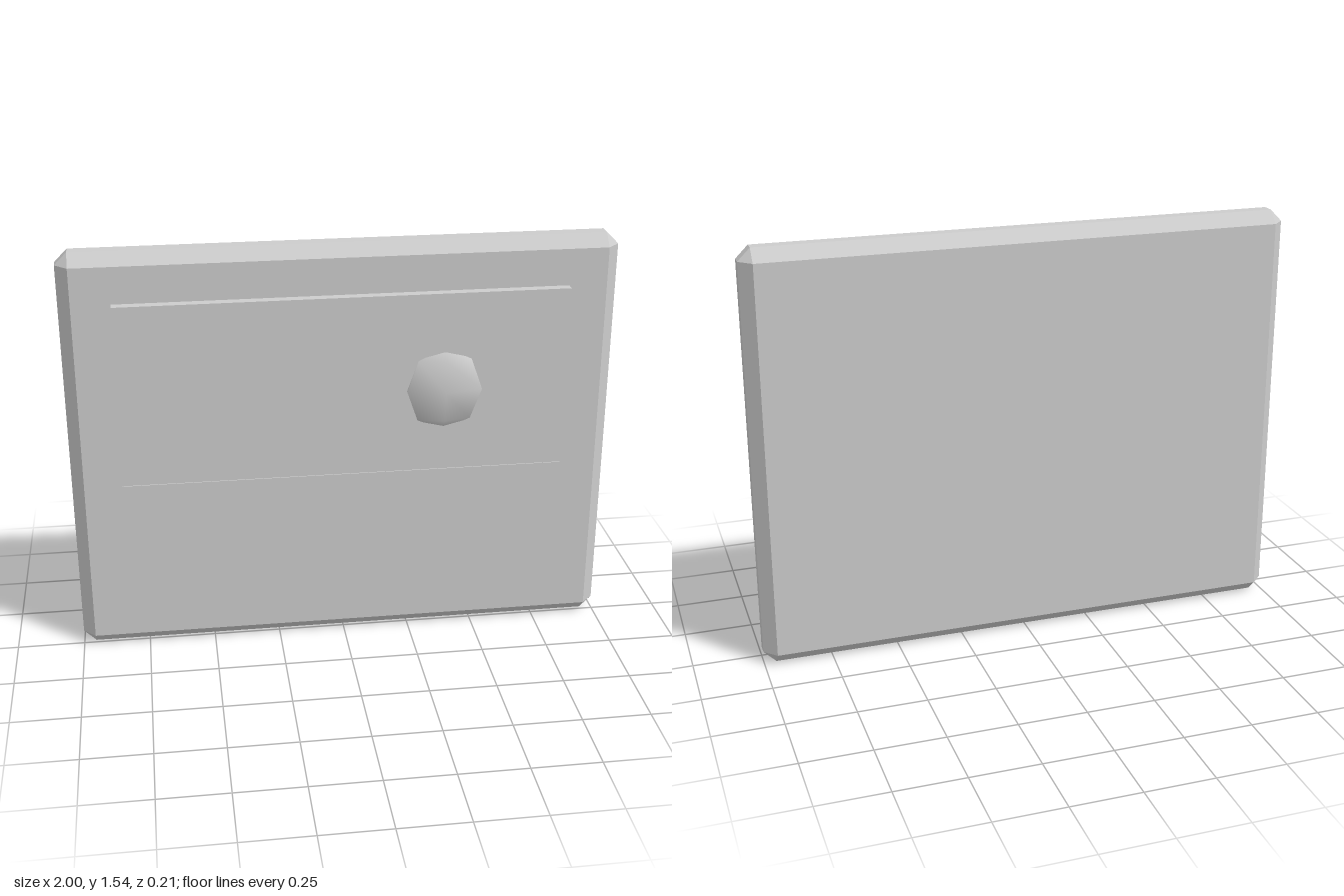
import * as THREE from 'three';
import { ConvexGeometry } from 'three/addons/geometries/ConvexGeometry.js';

// Box with every edge cut at 45 degrees by the amount c
function chamferedBox(w, h, d, c) {
  const points = [];
  for (const sx of [-1, 1]) for (const sy of [-1, 1]) for (const sz of [-1, 1]) {
    for (let full = 0; full < 3; full++) {
      const [x, y, z] = [w, h, d].map((size, i) => size / 2 - (i === full ? 0 : c));
      points.push(new THREE.Vector3(sx * x, sy * y, sz * z));
    }
  }
  return new ConvexGeometry(points);
}

export function createModel() {
  const group = new THREE.Group();
  const grey = new THREE.MeshStandardMaterial({ color: 0xcccccc });
  grey.name = 'light grey';

  function add(name, geometry, x, y, z) {
    const mesh = new THREE.Mesh(geometry, grey);
    mesh.name = name;
    mesh.position.set(x, y, z);
    group.add(mesh);
  }

  // Bevelled picture frame
  add('frame', chamferedBox(2, 1.545, 0.135, 0.045), 0, 0.7725, -0.0375);

  // Raised picture: upper sky, slightly thicker ground below
  const back = 0.02;
  function panel(name, bottom, top, front) {
    add(name, new THREE.BoxGeometry(1.63, top - bottom, front - back),
      0, (top + bottom) / 2, (front + back) / 2);
  }
  panel('sky', 0.685, 1.365, 0.065);
  panel('ground', 0.23, 0.685, 0.069);

  // Flattened low-poly sun, half sunk into the sky, one edge facing forward
  const sun = new THREE.SphereGeometry(0.161, 6, 4, Math.PI / 6);
  sun.scale(0.985, 1.01, 0.055 / 0.161);
  add('sun', sun, 0.362, 1, 0.05);

  return group;
}
